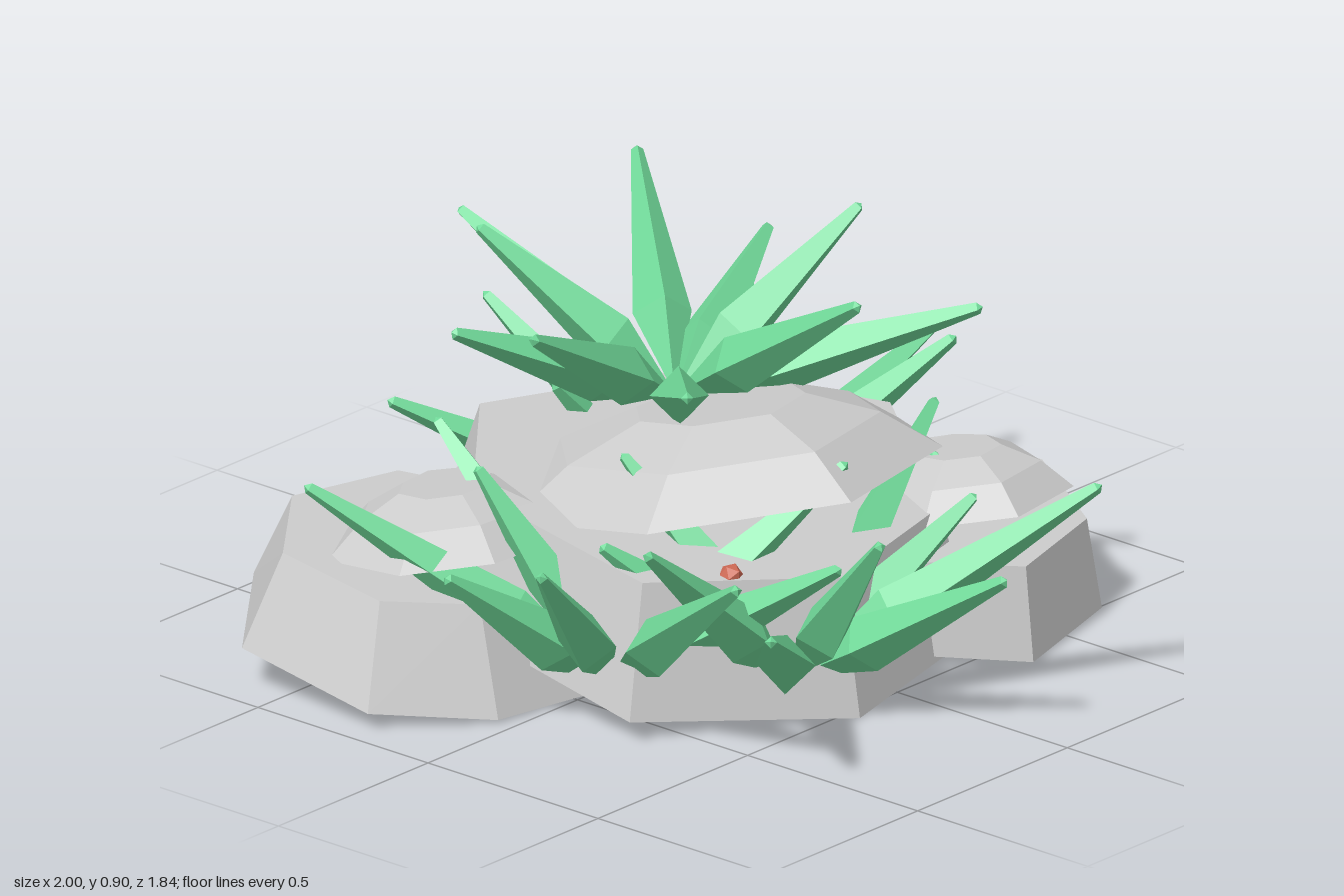
import * as THREE from 'three';

const stone = new THREE.MeshStandardMaterial({ color: 0xcccccc, flatShading: true });
const green = new THREE.MeshStandardMaterial({ color: 0x70d898, flatShading: true });
const red = new THREE.MeshStandardMaterial({ color: 0xd06a55, flatShading: true });

// Closed faceted solid through equal-length rings, listed bottom to top
function loft(rings) {
  const pos = [], n = rings[0].length;
  const tri = (a, b, c) => pos.push(...a, ...b, ...c);
  const middle = (r) => [0, 1, 2].map((k) => r.reduce((s, p) => s + p[k], 0) / n);
  for (let j = 0; j < rings.length - 1; j++) {
    for (let i = 0; i < n; i++) {
      const k = (i + 1) % n, [lo, hi] = [rings[j], rings[j + 1]];
      tri(lo[i], lo[k], hi[k]);
      tri(lo[i], hi[k], hi[i]);
    }
  }
  const first = rings[0], last = rings[rings.length - 1];
  for (let i = 0; i < n; i++) {
    const k = (i + 1) % n;
    tri(middle(first), first[k], first[i]);
    tri(middle(last), last[i], last[k]);
  }
  const g = new THREE.BufferGeometry();
  g.setAttribute('position', new THREE.Float32BufferAttribute(pos, 3));
  g.computeVertexNormals();
  return g;
}

// Outline points scaled about a centre, lying on a plane tilted along z
const ring = (outline, [cx, cz], s, y, slope) => outline.map(([x, z]) => {
  const pz = cz + (z - cz) * s;
  return [cx + (x - cx) * s, Math.max(0, y + slope * (pz - cz)), pz];
});

// Boulder: tapering base leaning forward, with a sharp-edged dome tipped up at the front
function boulder(name, o) {
  const g = new THREE.Group();
  g.name = name;
  const base = new THREE.Mesh(loft([
    ring(o.outline, o.centre, 1, o.y, -0.16),
    ring(o.outline, o.centre, o.taper, o.y + o.height, -0.14),
  ]), stone);
  base.name = name + 'Base';
  const cap = new THREE.Mesh(loft([
    ring(o.cap, o.capCentre, 1, o.lip, o.tilt),
    ring(o.cap, o.capCentre, 0.72, o.lip + o.dome * 0.6, o.tilt),
    ring(o.cap, o.capCentre, 0.38, o.lip + o.dome, o.tilt),
  ]), stone);
  cap.name = name + 'Cap';
  g.add(base, cap);
  return g;
}

// Spiky four-sided leaf from a root to a tip, ridge facing up
function leaf(root, tip) {
  const dir = tip.clone().sub(root), len = dir.length();
  dir.normalize();
  const profile = [[0, 0], [0.066, 0.33], [0.014, 0.985], [0, 1]]
    .map(([r, t]) => new THREE.Vector2(r, t * len));
  const mesh = new THREE.Mesh(new THREE.LatheGeometry(profile, 4), green);
  const side = new THREE.Vector3().crossVectors(dir, new THREE.Vector3(0, 1, 0)).normalize();
  const ridge = new THREE.Vector3().crossVectors(side, dir);
  mesh.quaternion.setFromRotationMatrix(new THREE.Matrix4().makeBasis(side, dir, ridge));
  mesh.position.copy(root);
  mesh.name = 'leaf';
  return mesh;
}

function plant(name, root, tips) {
  const g = new THREE.Group();
  g.name = name;
  const r = new THREE.Vector3(...root);
  tips.forEach((t) => g.add(leaf(r, new THREE.Vector3(...t))));
  return g;
}

export function createModel() {
  const model = new THREE.Group();
  model.name = 'rocksWithPlants';

  // Rocks; outlines are [x, z], running front, right, back, left
  model.add(boulder('mainRock', {
    outline: [[-0.61, 0.25], [-0.17, 0.54], [0.33, 0.43], [0.66, -0.03],
      [0.39, -0.46], [-0.2, -0.66], [-0.58, -0.35]],
    centre: [0, 0], y: 0.085, height: 0.29, taper: 0.87,
    cap: [[-0.45, 0.16], [-0.12, 0.47], [0.3, 0.37], [0.46, 0.1], [0.46, -0.2],
      [0.28, -0.46], [-0.2, -0.5], [-0.45, -0.25]],
    capCentre: [-0.02, 0], lip: 0.39, tilt: 0.19, dome: 0.17,
  }));
  model.add(boulder('backRock', {
    outline: [[-0.72, -0.04], [-0.45, 0], [-0.2, -0.15], [-0.15, -0.5], [-0.28, -0.74],
      [-0.65, -0.82], [-0.94, -0.6], [-0.94, -0.23]],
    centre: [-0.55, -0.42], y: 0.068, height: 0.22, taper: 0.77,
    cap: [[-0.64, -0.12], [-0.4, -0.1], [-0.24, -0.26], [-0.23, -0.49], [-0.36, -0.63],
      [-0.6, -0.61], [-0.78, -0.49], [-0.8, -0.26]],
    capCentre: [-0.52, -0.38], lip: 0.3, tilt: 0.13, dome: 0.12,
  }));
  model.add(boulder('frontRock', {
    outline: [[0.14, 0.44], [0.33, 0.61], [0.65, 0.53], [0.8, 0.25], [0.71, 0.02],
      [0.45, -0.08], [0.18, 0.07]],
    centre: [0.49, 0.27], y: 0.056, height: 0.2, taper: 0.89,
    cap: [[0.21, 0.39], [0.36, 0.54], [0.59, 0.5], [0.71, 0.27], [0.64, 0.07],
      [0.41, 0.01], [0.22, 0.12]],
    capCentre: [0.45, 0.28], lip: 0.28, tilt: 0.15, dome: 0.11,
  }));

  // Four star-shaped plants, leaf tips alternating tall and low
  model.add(plant('topPlant', [0.03, 0.52, -0.18], [
    [-0.63, 0.89, -0.02], [-0.2, 0.89, -0.56], [0, 0.89, 0.39], [0.39, 0.89, -0.61],
    [0.46, 0.89, -0.01], [-0.49, 0.77, -0.38], [0.08, 0.77, -0.86], [0.46, 0.77, -0.28],
    [0.4, 0.77, 0.4], [-0.44, 0.77, 0.27],
  ]));
  model.add(plant('backPlant', [0.35, 0.05, -0.37], [
    [-0.17, 0.39, -0.85], [0.23, 0.51, -0.92], [0.52, 0.39, -0.76], [0.72, 0.51, -0.57],
    [1, 0.39, -0.25], [0.72, 0.51, 0.04], [0.39, 0.39, 0.28], [0.05, 0.51, 0.24],
    [-0.14, 0.39, -0.1], [-0.08, 0.51, -0.44],
  ]));
  model.add(plant('frontPlant', [-0.21, 0.07, 0.38], [
    [-0.75, 0.53, 0.42], [-0.73, 0.41, 0.77], [-0.36, 0.53, 0.77], [-0.11, 0.41, 0.92],
    [0.23, 0.53, 0.9], [0.23, 0.41, 0.53], [0.38, 0.53, 0.28], [0.03, 0.41, -0.22],
    [-0.33, 0.53, -0.02], [-0.55, 0.41, 0.11],
  ]));
  model.add(plant('sidePlant', [-0.48, 0.07, 0.08], [
    [-0.77, 0.53, 0.71], [-1, 0.53, 0.33], [-0.92, 0.41, -0.02], [-0.88, 0.5, -0.47],
    [-0.6, 0.53, -0.21], [-0.44, 0.53, -0.47], [-0.05, 0.41, -0.2], [0, 0.41, 0.08],
    [-0.04, 0.53, 0.39], [-0.3, 0.41, 0.6],
  ]));

  // Small bud tucked between the leaves
  const bud = new THREE.Mesh(new THREE.IcosahedronGeometry(0.028, 0), red);
  bud.name = 'bud';
  bud.position.set(-0.34, 0.33, 0.31);
  model.add(bud);

  return model;
}
